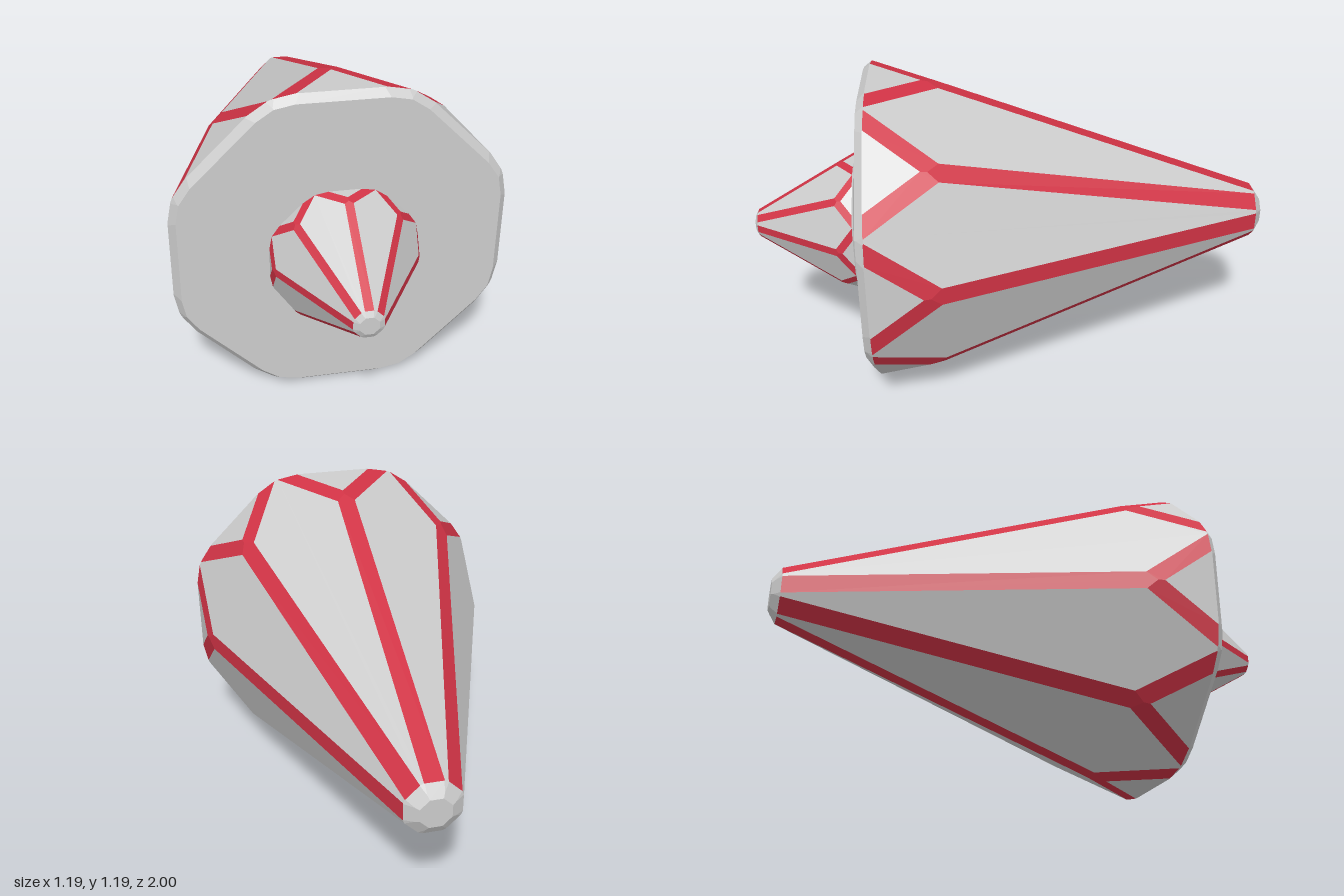
import * as THREE from 'three';

const STEP = Math.PI / 4;
const grey = new THREE.MeshStandardMaterial({ color: 0xcccccc });
const red = new THREE.MeshStandardMaterial({ color: 0xd03345 });

// A facet plane: outward normal and distance from the origin
const facet = (x, y, z, d) => {
  const n = new THREE.Vector3(x, y, z), len = n.length();
  return { n: n.divideScalar(len), d: d / len };
};

// Plane that cuts a flat strip of the given width along the edge shared by two facets
function chamfer(a, b, width) {
  const sum = a.n.clone().add(b.n), len = sum.length();
  const depth = (width / 2) * Math.tan(a.n.angleTo(b.n) / 2);
  return { n: sum.divideScalar(len), d: (a.d + b.d) / len - depth };
}

// Keep the part of a polygon that lies behind a plane
function clip(poly, plane) {
  const out = [];
  poly.forEach((p, i) => {
    const q = poly[(i + 1) % poly.length];
    const dp = plane.n.dot(p) - plane.d, dq = plane.n.dot(q) - plane.d;
    if (dp <= 0) out.push(p);
    if ((dp < 0 && dq > 0) || (dp > 0 && dq < 0)) out.push(p.clone().lerp(q, dp / (dp - dq)));
  });
  return out;
}

// The face that one plane contributes to the convex solid bounded by all planes
function facePolygon(plane, planes) {
  const up = Math.abs(plane.n.z) < 0.9 ? new THREE.Vector3(0, 0, 1) : new THREE.Vector3(1, 0, 0);
  const u = up.cross(plane.n).normalize(), v = plane.n.clone().cross(u);
  const centre = plane.n.clone().multiplyScalar(plane.d);
  let poly = [[-5, -5], [5, -5], [5, 5], [-5, 5]].map(([a, b]) =>
    centre.clone().addScaledVector(u, a).addScaledVector(v, b));
  for (const other of planes) {
    if (other !== plane) poly = clip(poly, other);
    if (poly.length < 3) return [];
  }
  return poly;
}

function facesMesh(name, faces, planes, material) {
  const points = [];
  for (const face of faces) {
    const p = facePolygon(face, planes);
    for (let i = 1; i < p.length - 1; i++) points.push(p[0], p[i], p[i + 1]);
  }
  const geometry = new THREE.BufferGeometry().setFromPoints(points);
  geometry.computeVertexNormals();
  const mesh = new THREE.Mesh(geometry, material);
  mesh.name = name;
  return mesh;
}

// Eight-sided cut stone: flat table at z = 0, narrow tip at z = height
function cutStone({ name, height, girdle, girdleSlope, ridge, ridgeSlope, band, rim, tip }) {
  const c = Math.cos(STEP / 2);
  const table = facet(0, 0, -1, 0), point = facet(0, 0, 1, height);
  const girdles = [], mains = [];
  for (let k = 0; k < 8; k++) {
    const a = k * STEP, b = a + STEP / 2;
    girdles.push(facet(Math.cos(a), Math.sin(a), girdleSlope, girdle));
    mains.push(facet(Math.cos(b), Math.sin(b), ridgeSlope * c, ridge * c));
  }

  // Y-shaped bands: one along each ridge, two arms beside each girdle triangle
  const ridges = [], arms = [];
  for (let k = 0; k < 8; k++) {
    const before = mains[(k + 7) % 8];
    ridges.push(chamfer(before, mains[k], band));
    arms.push(chamfer(girdles[k], before, band), chamfer(girdles[k], mains[k], band));
  }

  // Bevels around the table and the tip
  const bevels = [
    ...[...girdles, ...mains, ...arms].map(f => chamfer(f, table, rim)),
    ...[...mains, ...ridges].map(f => chamfer(f, point, tip)),
  ];

  const bands = [...ridges, ...arms];
  const body = [table, point, ...girdles, ...mains, ...bevels];
  const planes = [...body, ...bands];
  const group = new THREE.Group();
  group.name = name;
  group.add(facesMesh(name + 'Facets', body, planes, grey));
  group.add(facesMesh(name + 'Bands', bands, planes, red));
  return group;
}

export function createModel() {
  const model = new THREE.Group();
  model.name = 'splitCrystal';

  // Long rear stone, tip pointing back
  const rear = cutStone({
    name: 'rearStone', height: 1.555, girdle: 0.597, girdleSlope: 0.057,
    ridge: 0.687, ridgeSlope: 0.376, band: 0.068, rim: 0.038, tip: 0.055,
  });
  rear.rotation.y = Math.PI;
  rear.position.set(0, 0.595, 0.555);

  // Small front stone, tip pointing forward
  const front = cutStone({
    name: 'frontStone', height: 0.407, girdle: 0.261, girdleSlope: 0.05,
    ridge: 0.299, ridgeSlope: 0.61, band: 0.03, rim: 0.008, tip: 0.022,
  });
  front.position.set(0, 0.595, 0.593);

  model.add(rear, front);
  return model;
}
